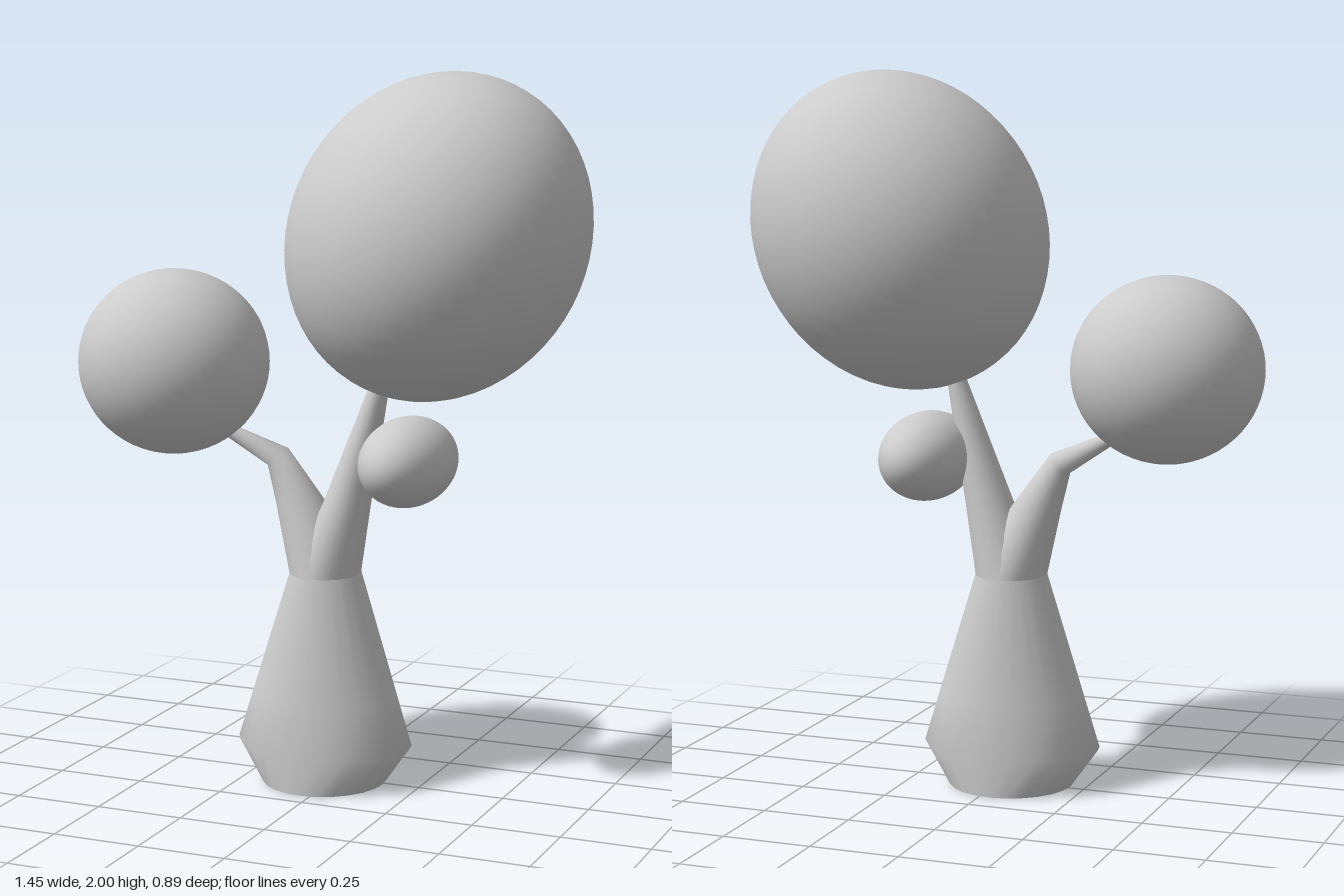
import * as THREE from 'three';

const material = new THREE.MeshStandardMaterial({ color: 0xcccccc, side: THREE.DoubleSide });
const SIDES = 24;

// Skin through elliptical rings: [x, y, z, half width, half depth, tilt about z]
function loft(name, rings) {
  const positions = [], index = [];
  rings.forEach(([cx, cy, cz, rx, rz, tilt = 0], r) => {
    for (let i = 0; i < SIDES; i++) {
      const a = (i / SIDES) * Math.PI * 2;
      const u = rx * Math.cos(a);
      positions.push(cx + u * Math.cos(tilt), cy + u * Math.sin(tilt), cz + rz * Math.sin(a));
      if (r === rings.length - 1) continue;
      const p = r * SIDES + i, q = r * SIDES + (i + 1) % SIDES;
      index.push(p, p + SIDES, q, q, p + SIDES, q + SIDES);
    }
  });
  const geometry = new THREE.BufferGeometry();
  geometry.setAttribute('position', new THREE.Float32BufferAttribute(positions, 3));
  geometry.setIndex(index);
  geometry.computeVertexNormals();
  const mesh = new THREE.Mesh(geometry, material);
  mesh.name = name;
  return mesh;
}

// Ellipsoid from its half extents, skewed by the xy, xz and yz terms of its
// symmetric shape matrix (factored into a lower triangle)
function foliage(name, center, [ex, ey, ez], [xy, xz, yz] = [0, 0, 0]) {
  const b = xy / ex, c = xz / ex;
  const d = Math.sqrt(ey * ey - b * b);
  const e = (yz - b * c) / d;
  const f = Math.sqrt(ez * ez - c * c - e * e);
  const geometry = new THREE.SphereGeometry(1, 48, 32);
  geometry.applyMatrix4(new THREE.Matrix4().set(
    ex, 0, 0, 0,
    b, d, 0, 0,
    c, e, f, 0,
    0, 0, 0, 1));
  const mesh = new THREE.Mesh(geometry, material);
  mesh.name = name;
  mesh.position.set(...center);
  return mesh;
}

export function createModel() {
  const tree = new THREE.Group();
  tree.name = 'tree';

  // Flared hollow trunk, open underneath
  tree.add(loft('trunk', [
    [-0.03, 0, 0.015, 0.176, 0.183],
    [-0.03, 0.11, 0.015, 0.255, 0.18],
    [-0.03, 0.25, 0.013, 0.21, 0.167],
    [-0.03, 0.6, 0.01, 0.1, 0.108],
  ]));

  // Fork: both branches grow out of the trunk's top ring
  tree.add(loft('mainBranch', [
    [-0.03, 0.6, 0.01, 0.1, 0.108],
    [0.035, 0.8, 0.01, 0.067, 0.074],
    [0.133, 1.14, 0.01, 0.026, 0.032, -0.25],
    [0.165, 1.25, 0.01, 0.02, 0.025, -0.25],
  ]));
  tree.add(loft('sideBranch', [
    [-0.03, 0.6, 0.01, 0.1, 0.108],
    [-0.102, 0.79, 0.01, 0.072, 0.07],
    [-0.172, 0.92, 0.015, 0.038, 0.035, 0.75],
    [-0.295, 0.985, 0.045, 0.02, 0.022, 1.1],
    [-0.36, 1.02, 0.06, 0.016, 0.018, 1.1],
  ]));

  // Rounded crowns
  tree.add(foliage('largeCrown', [0.298, 1.555, 0], [0.427, 0.445, 0.447], [0.017, 0.015, -0.009]));
  tree.add(foliage('mediumCrown', [-0.457, 1.185, 0.09], [0.268, 0.26, 0.27]));
  tree.add(foliage('smallCrown', [0.207, 0.927, -0.02], [0.127, 0.125, 0.205]));

  return tree;
}
